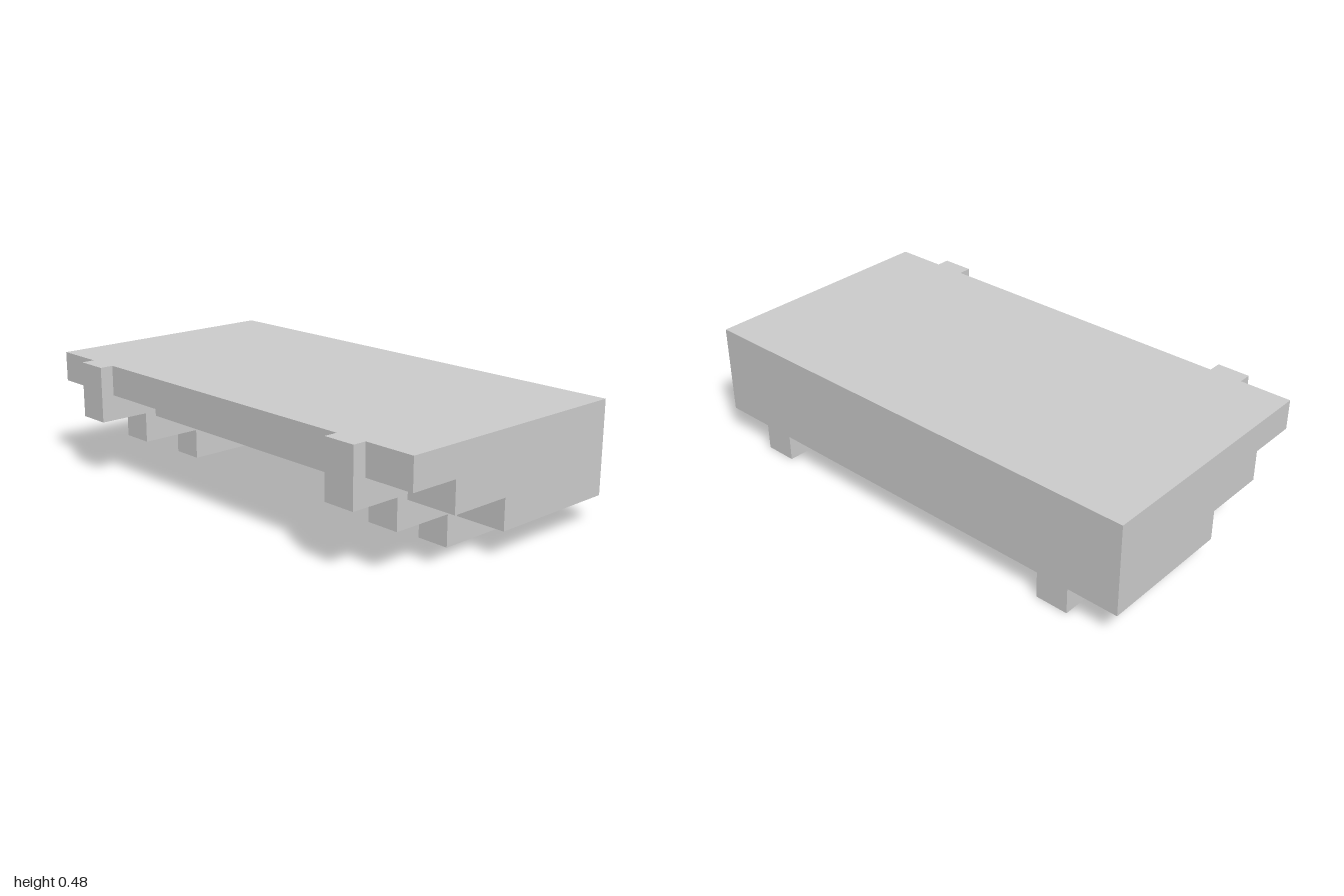
import * as THREE from 'three';

const TOP = 0.478, BACK = -0.54;
const material = new THREE.MeshStandardMaterial({ color: 0xcccccc, flatShading: true });

// Underside steps as [z, y], from the front top corner down to the back
const bodySteps = [
  [0.485, TOP], [0.485, 0.355], [0.28, 0.355], [0.28, 0.23],
  [0.02, 0.23], [0.02, 0.107], [BACK, 0.107],
];
const stringerSteps = [
  [0.54, TOP], [0.54, 0.25], [0.33, 0.25], [0.33, 0.126],
  [0.07, 0.126], [0.07, 0], [BACK, 0],
];

// Extrudes a (z, y) side profile across x, centred on the given x
function extrudeProfile(name, points, width, x) {
  const shape = new THREE.Shape(points.map(([z, y]) => new THREE.Vector2(z, y)));
  const geometry = new THREE.ExtrudeGeometry(shape, { depth: width, bevelEnabled: false });
  geometry.translate(0, 0, -width / 2);
  geometry.rotateY(-Math.PI / 2);
  const mesh = new THREE.Mesh(geometry, material);
  mesh.name = name;
  mesh.position.x = x;
  return mesh;
}

export function createModel() {
  const group = new THREE.Group();
  group.name = 'steppedPlatform';

  // Flat-topped slab with a stepped underside
  group.add(extrudeProfile('platformBody', [...bodySteps, [BACK, TOP]], 2, 0));

  // Two stepped stringers that wrap the front and underside of the slab
  const band = [...stringerSteps, ...[...bodySteps].reverse()];
  for (const [name, side] of [['leftStringer', 1], ['rightStringer', -1]]) {
    group.add(extrudeProfile(name, band, 0.135, side * 0.722));
  }
  return group;
}
